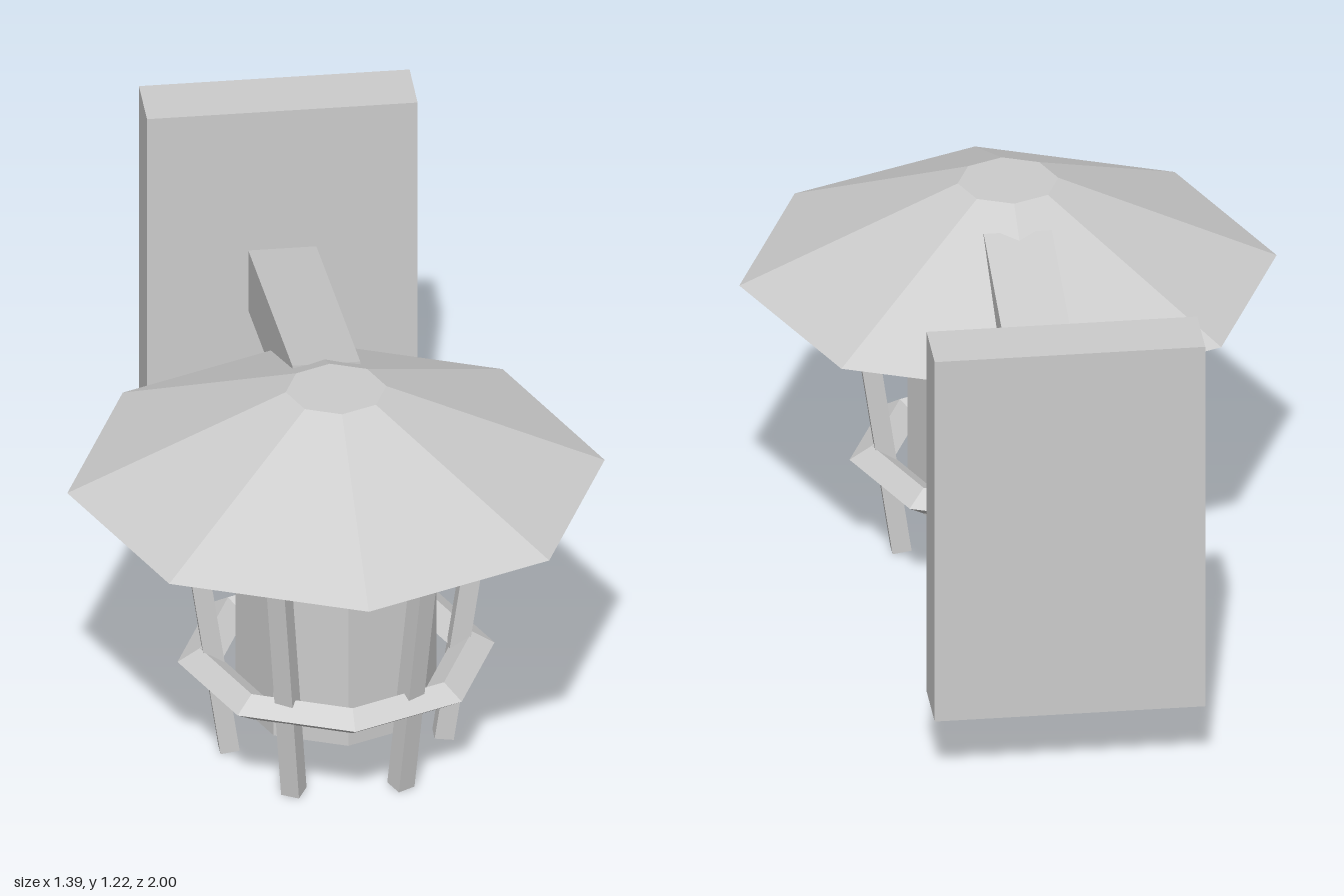
import * as THREE from 'three';

export function createModel() {
  const model = new THREE.Group();
  model.name = 'wallLantern';
  const grey = new THREE.MeshStandardMaterial({ color: 0xcccccc, flatShading: true });
  grey.name = 'grey';

  const add = (parent, name, geometry, x = 0, y = 0, z = 0) => {
    const mesh = new THREE.Mesh(geometry, grey);
    mesh.name = name;
    mesh.position.set(x, y, z);
    parent.add(mesh);
    return mesh;
  };

  // Wall plate
  add(model, 'wallPlate', new THREE.BoxGeometry(0.7, 1.04, 0.17), 0, 0.7, -0.915);

  // Sloping arm: a box sheared so that both ends stay upright
  const armGeometry = new THREE.BoxGeometry(0.176, 0.178, 0.94);
  const p = armGeometry.attributes.position;
  for (let i = 0; i < p.count; i++) p.setY(i, p.getY(i) + 0.21 * p.getZ(i));
  armGeometry.computeVertexNormals();
  add(model, 'arm', armGeometry, 0, 0.819, -0.37);

  // Lantern, centred on its own axis
  const lantern = new THREE.Group();
  lantern.name = 'lantern';
  lantern.position.z = 0.305;
  model.add(lantern);

  // Octagonal shade and lamp body
  add(lantern, 'shade', new THREE.CylinderGeometry(0.13, 0.695, 0.26, 8), 0, 0.92, 0);
  add(lantern, 'lampBody', new THREE.CylinderGeometry(0.26, 0.26, 0.66, 8), 0, 0.47, 0);

  // Octagonal ring with a flattened diamond section
  const ringGeometry = new THREE.TorusGeometry(0.352, 0.058, 4, 8);
  ringGeometry.rotateX(Math.PI / 2);
  ringGeometry.scale(1, 0.64, 1);
  add(lantern, 'ring', ringGeometry, 0, 0.268, 0);

  // Six bars leaning outwards
  const barGeometry = new THREE.BoxGeometry(0.05, 0.79, 0.05);
  for (let i = 0; i < 6; i++) {
    const spoke = new THREE.Group();
    spoke.name = 'bar' + (i + 1);
    spoke.rotation.y = (i * Math.PI) / 3;
    lantern.add(spoke);
    add(spoke, 'bar', barGeometry, 0.334, 0.395, 0).rotation.z = -0.145;
  }

  return model;
}
